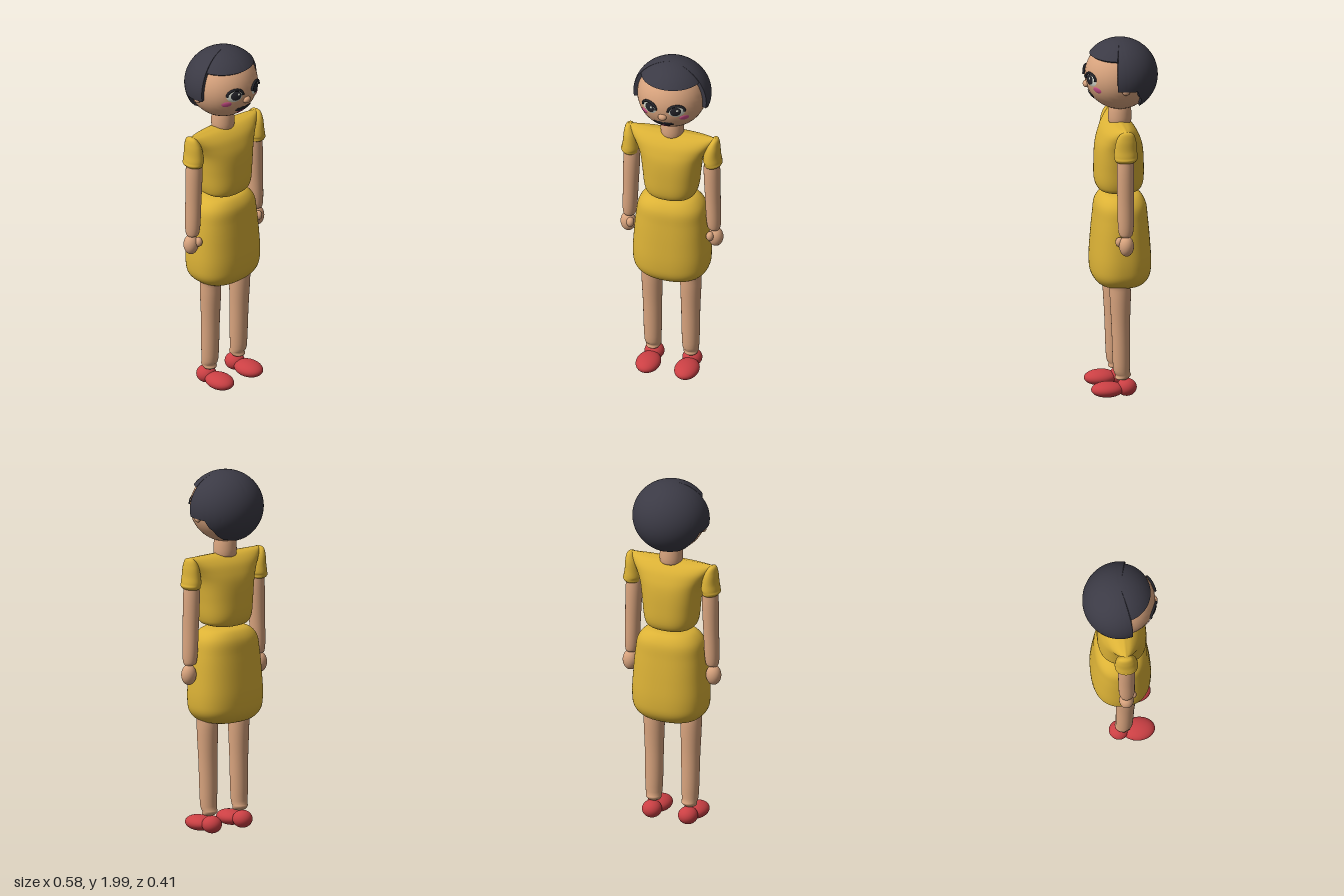
import * as THREE from 'three';
import { mergeVertices, toCreasedNormals } from 'three/addons/utils/BufferGeometryUtils.js';

const mat = (name, color) => {
  const m = new THREE.MeshStandardMaterial({ color });
  m.name = name;
  return m;
};

const HEAD = { y: 1.8, r: 0.19 };

// Removes seams and gives smooth normals
function smooth(geo) {
  geo.deleteAttribute('uv');
  geo.deleteAttribute('normal');
  const g = mergeVertices(geo, 1e-5);
  g.computeVertexNormals();
  return g;
}

// Smooth body through rows [y, halfWidth, halfDepth, centreX, centreZ], top to bottom
function loft(rows, power = 2, seg = 40, steps = 40) {
  const size = new THREE.CatmullRomCurve3(rows.map(r => new THREE.Vector3(r[0], r[1], r[2])));
  const mid = new THREE.CatmullRomCurve3(rows.map(r => new THREE.Vector3(r[3] ?? 0, r[4] ?? 0, 0)));
  const geo = new THREE.CylinderGeometry(1, 1, 1, seg, steps, true);
  const p = geo.attributes.position;
  const round = v => Math.sign(v) * Math.abs(v) ** (2 / power);
  for (let i = 0; i < p.count; i++) {
    const t = Math.floor(i / (seg + 1)) / steps;
    const a = (i % (seg + 1)) / seg * Math.PI * 2;
    const s = size.getPoint(t), c = mid.getPoint(t);
    p.setXYZ(i, c.x + round(Math.sin(a)) * Math.max(s.y, 0), s.x, c.y + round(Math.cos(a)) * Math.max(s.z, 0));
  }
  return smooth(geo);
}

// Hair cap whose lower edge follows a hairline of [angle from front, height]
function hairGeometry() {
  const line = [[0, 1.92], [1.31, 1.92], [1.335, 1.762], [1.9, 1.755], [2.0, 1.715], [2.1, 1.7],
    [2.2, 1.665], [2.4, 1.64], [Math.PI, 1.628]];
  const half = [];
  for (let i = 0; i < line.length - 1; i++) {
    const n = Math.max(2, Math.ceil((line[i + 1][0] - line[i][0]) / 0.06));
    for (let k = 0; k < n; k++) half.push([0, 1].map(j => THREE.MathUtils.lerp(line[i][j], line[i + 1][j], k / n)));
  }
  half.push(line[line.length - 1]);
  const edge = [...half.slice(1).reverse().map(([a, y]) => [-a, y]), ...half];
  const seg = edge.length - 1, steps = 25;
  const geo = new THREE.CylinderGeometry(1, 1, 1, seg, steps, true);
  const p = geo.attributes.position;
  for (let i = 0; i < p.count; i++) {
    const row = Math.floor(i / (seg + 1)), [a, y] = edge[i % (seg + 1)];
    const phi = Math.acos((y - HEAD.y) / 0.2) * Math.min(1, row / (steps - 1));
    const k = row === steps ? 0.87 : 1; // last row turns in to the head
    p.setXYZ(i, 0.212 * k * Math.sin(phi) * Math.sin(a), HEAD.y + 0.2 * k * Math.cos(phi),
      0.205 * k * Math.sin(phi) * Math.cos(a));
  }
  geo.deleteAttribute('uv');
  return toCreasedNormals(geo, 0.8);
}

// Height of the head surface in front of (x, y)
const faceZ = (x, y) => Math.sqrt(Math.max(0, HEAD.r ** 2 - x * x - (y - HEAD.y) ** 2));

// Slightly domed oval lying on the face
function spot(x, y, rx, ry, lift, dome = 0.004) {
  const geo = new THREE.RingGeometry(0, 1, 32, 5);
  const p = geo.attributes.position;
  for (let i = 0; i < p.count; i++) {
    const u = p.getX(i), v = p.getY(i), px = x + u * rx, py = y + v * ry;
    p.setXYZ(i, px, py, faceZ(px, py) + lift + dome * Math.sqrt(Math.max(0, 1 - u * u - v * v)));
  }
  return smooth(geo);
}

// Upper lash: arched tube following the face
function lashGeometry(s) {
  const pts = [];
  for (let i = 0; i <= 10; i++) {
    const a = Math.PI * (-0.02 + 1.04 * i / 10);
    const x = s * (0.076 + 0.042 * Math.cos(a)), y = 1.803 + 0.034 * Math.sin(a);
    pts.push(new THREE.Vector3(x, y, faceZ(x, y) + 0.006));
  }
  return new THREE.TubeGeometry(new THREE.CatmullRomCurve3(pts), 30, 0.007, 8);
}

export function createModel() {
  const model = new THREE.Group();
  model.name = 'doll';
  const skin = mat('skin', 0xd9a47e), cloth = mat('yellow cloth', 0xdcb236), hair = mat('hair', 0x3b3a45),
    shoe = mat('red shoe', 0xcb4044), black = mat('black', 0x24242a), white = mat('eye white', 0xd9dccf),
    pink = mat('pink', 0xcc4f88);

  const add = (name, geo, m, parent = model) => {
    const mesh = new THREE.Mesh(geo, m);
    mesh.name = name;
    parent.add(mesh);
    return mesh;
  };
  const ball = (name, m, x, y, z, rx, ry, rz, parent) => {
    const b = add(name, new THREE.SphereGeometry(1, 32, 24), m, parent);
    b.position.set(x, y, z);
    b.scale.set(rx, ry, rz);
    return b;
  };

  // Head, hair and neck
  ball('head', skin, 0, HEAD.y, 0, HEAD.r, HEAD.r, HEAD.r);
  add('hair', hairGeometry(), hair);
  add('neck', loft([[1.63, 0, 0], [1.628, 0.055, 0.055], [1.61, 0.06, 0.06], [1.55, 0.063, 0.063],
    [1.53, 0.058, 0.058], [1.525, 0, 0]]), skin);

  // Dress
  add('bodice', loft([[1.547, 0.245, 0, 0, 0.007], [1.535, 0.243, 0.045, 0, 0.007], [1.5, 0.222, 0.086, 0, 0.007],
    [1.45, 0.193, 0.112, 0, 0.007], [1.4, 0.173, 0.126, 0, 0.007], [1.3, 0.158, 0.133, 0, 0.007],
    [1.2, 0.146, 0.13, 0, 0.007], [1.165, 0.132, 0.115, 0, 0.007], [1.147, 0.085, 0.08, 0, 0.007],
    [1.145, 0, 0, 0, 0.007]], 2.4, 56, 50), cloth);
  add('skirt', loft([[1.143, 0, 0], [1.14, 0.08, 0.07], [1.125, 0.14, 0.108], [1.08, 0.181, 0.136],
    [1, 0.196, 0.146], [0.88, 0.207, 0.157], [0.75, 0.213, 0.164], [0.68, 0.203, 0.157],
    [0.635, 0.165, 0.128], [0.613, 0.09, 0.075], [0.61, 0, 0]], 2.4, 56, 50), cloth);

  for (const s of [1, -1]) {
    const side = s > 0 ? 'left' : 'right';

    // Arm
    const arm = new THREE.Group();
    arm.name = side + 'Arm';
    model.add(arm);
    add('sleeve', loft([[1.547, 0, 0, s * 0.243, 0.005], [1.537, 0.018, 0.032, s * 0.242, 0.005],
      [1.5, 0.035, 0.052, s * 0.234, 0.007], [1.44, 0.045, 0.061, s * 0.229, 0.009],
      [1.4, 0.05, 0.063, s * 0.23, 0.009], [1.377, 0.044, 0.056, s * 0.23, 0.009],
      [1.368, 0, 0, s * 0.23, 0.009]]), cloth, arm);
    add('forearm', loft([[1.44, 0, 0, s * 0.225, 0.01], [1.42, 0.036, 0.036, s * 0.225, 0.01],
      [1.36, 0.044, 0.045, s * 0.226, 0.01], [1.15, 0.042, 0.045, s * 0.232, 0.01],
      [0.98, 0.037, 0.04, s * 0.238, 0.01], [0.957, 0.03, 0.032, s * 0.239, 0.01],
      [0.95, 0, 0, s * 0.239, 0.01]]), skin, arm);
    ball('hand', skin, s * 0.247, 0.9, 0.008, 0.042, 0.057, 0.04, arm);
    ball('thumb', skin, s * 0.225, 0.918, 0.042, 0.021, 0.027, 0.023, arm);

    // Leg and shoe
    const leg = new THREE.Group();
    leg.name = side + 'Leg';
    model.add(leg);
    add('shin', loft([[0.69, 0, 0, s * 0.11, 0.018], [0.68, 0.045, 0.045, s * 0.11, 0.018],
      [0.63, 0.056, 0.056, s * 0.11, 0.018], [0.4, 0.052, 0.05, s * 0.108, 0.015],
      [0.14, 0.044, 0.043, s * 0.107, 0.01], [0.108, 0.036, 0.035, s * 0.107, 0.01],
      [0.098, 0, 0, s * 0.107, 0.01]]), skin, leg);
    ball('heel', shoe, s * 0.107, 0.055, -0.018, 0.054, 0.048, 0.055, leg);
    ball('toe', shoe, s * 0.109, 0.048, 0.087, 0.067, 0.042, 0.09, leg);

    // Face details
    const face = new THREE.Group();
    face.name = side + 'Face';
    model.add(face);
    ball('ear', skin, s * 0.192, 1.757, 0, 0.014, 0.02, 0.022, face);
    add('eyeWhite', spot(s * 0.076, 1.8, 0.043, 0.036, 0.001, 0.006), white, face);
    add('pupil', spot(s * 0.073, 1.801, 0.028, 0.028, 0.006), black, face);
    add('eyeGlint', spot(s * 0.073 + 0.01, 1.81, 0.006, 0.006, 0.011, 0.001), white, face);
    add('lash', lashGeometry(s), black, face);
    add('cheek', spot(s * 0.112, 1.75, 0.022, 0.017, 0.001), pink, face);
    add('moustacheInner', spot(s * 0.018, 1.698, 0.024, 0.019, 0.003), black, face);
    add('moustacheTip', spot(s * 0.041, 1.7, 0.015, 0.012, 0.003), black, face);
  }
  ball('nose', skin, 0, 1.756, 0.185, 0.024, 0.02, 0.018);
  add('lips', spot(0, 1.681, 0.032, 0.02, 0.001), pink);

  return model;
}
